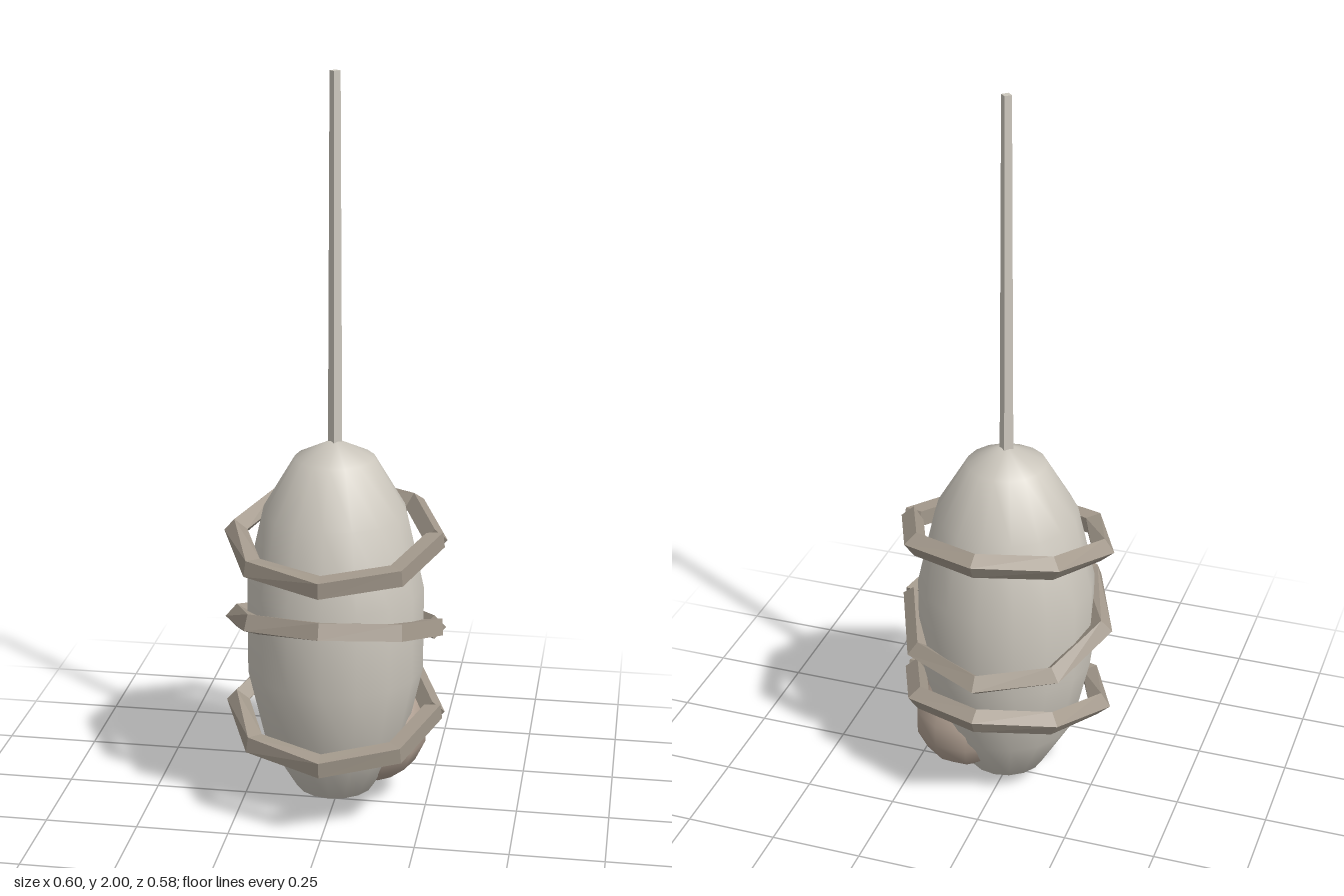
import * as THREE from 'three';

const bodyMat = new THREE.MeshStandardMaterial({ name: 'pale stone', color: 0xcdc8be });
const ringMat = new THREE.MeshStandardMaterial({ name: 'taupe', color: 0xa3998c, flatShading: true });
const lumpMat = new THREE.MeshStandardMaterial({ name: 'dusty brown', color: 0xb3a294 });
const stemMat = bodyMat.clone();
stemMat.flatShading = true;

// Octagonal band of square section, tilted front to back, whose section twists on its way round.
function bandGeometry(radius, half, tilt) {
  const twist = [42, 42, 39, 42, 50, 78, 86, 85, 85]; // degrees, from +x round the back
  const pos = [], idx = [];
  const up = new THREE.Vector3(0, Math.cos(tilt), Math.sin(tilt));
  twist.forEach((deg, i) => {
    const t = (i / 8) * Math.PI * 2, f = THREE.MathUtils.degToRad(deg);
    const out = new THREE.Vector3(Math.cos(t), Math.sin(t) * Math.sin(tilt), -Math.sin(t) * Math.cos(tilt));
    const n = out.clone().multiplyScalar(-Math.cos(f)).addScaledVector(up, Math.sin(f));
    const m = out.clone().multiplyScalar(Math.sin(f)).addScaledVector(up, Math.cos(f));
    for (const [a, b] of [[1, 1], [-1, 1], [-1, -1], [1, -1]]) {
      const p = out.clone().multiplyScalar(radius).addScaledVector(n, a * half).addScaledVector(m, b * half);
      pos.push(p.x, p.y, p.z);
    }
  });
  for (let i = 0; i < 8; i++) {
    for (let j = 0; j < 4; j++) {
      const a = i * 4 + j, b = i * 4 + (j + 1) % 4;
      idx.push(a, a + 4, b, b, a + 4, b + 4);
    }
  }
  // end caps
  idx.push(0, 1, 2, 0, 2, 3, 32, 34, 33, 32, 35, 34);
  const g = new THREE.BufferGeometry();
  g.setAttribute('position', new THREE.Float32BufferAttribute(pos, 3));
  g.setIndex(idx);
  // make the faces point outwards whichever way the section runs
  const v = i => new THREE.Vector3().fromArray(pos, i * 3);
  const centre = v(0).add(v(2)).multiplyScalar(0.5);
  const normal = v(4).sub(v(0)).cross(v(1).sub(v(0)));
  if (normal.dot(v(0).add(v(1)).multiplyScalar(0.5).sub(centre)) < 0) {
    for (let k = 0; k < idx.length; k += 3) [idx[k + 1], idx[k + 2]] = [idx[k + 2], idx[k + 1]];
    g.setIndex(idx);
  }
  g.computeVertexNormals();
  return g;
}

export function createModel() {
  const model = new THREE.Group();
  const add = (name, geometry, material, x, y, z) => {
    const mesh = new THREE.Mesh(geometry, material);
    mesh.name = name;
    mesh.position.set(x, y, z);
    model.add(mesh);
    return mesh;
  };

  // egg-shaped body
  add('body', new THREE.SphereGeometry(1, 16, 7), bodyMat, 0, 0.525, 0).scale.set(0.245, 0.52, 0.245);

  // thin tapering stem
  add('stem', new THREE.CylinderGeometry(0.014, 0.019, 0.98, 4), stemMat, 0, 1.51, 0);

  // lump low on the side
  add('lump', new THREE.SphereGeometry(0.146, 10, 7), lumpMat, 0.1, 0.205, -0.05);

  // bands round the body: height and tilt
  ringMat.side = THREE.DoubleSide;
  const bands = [['lowerBand', 0.285, 0.22], ['middleBand', 0.53, -0.28], ['upperBand', 0.777, 0.19]];
  for (const [name, y, tilt] of bands) add(name, bandGeometry(0.268, 0.0225, tilt), ringMat, 0, y, 0);

  return model;
}
